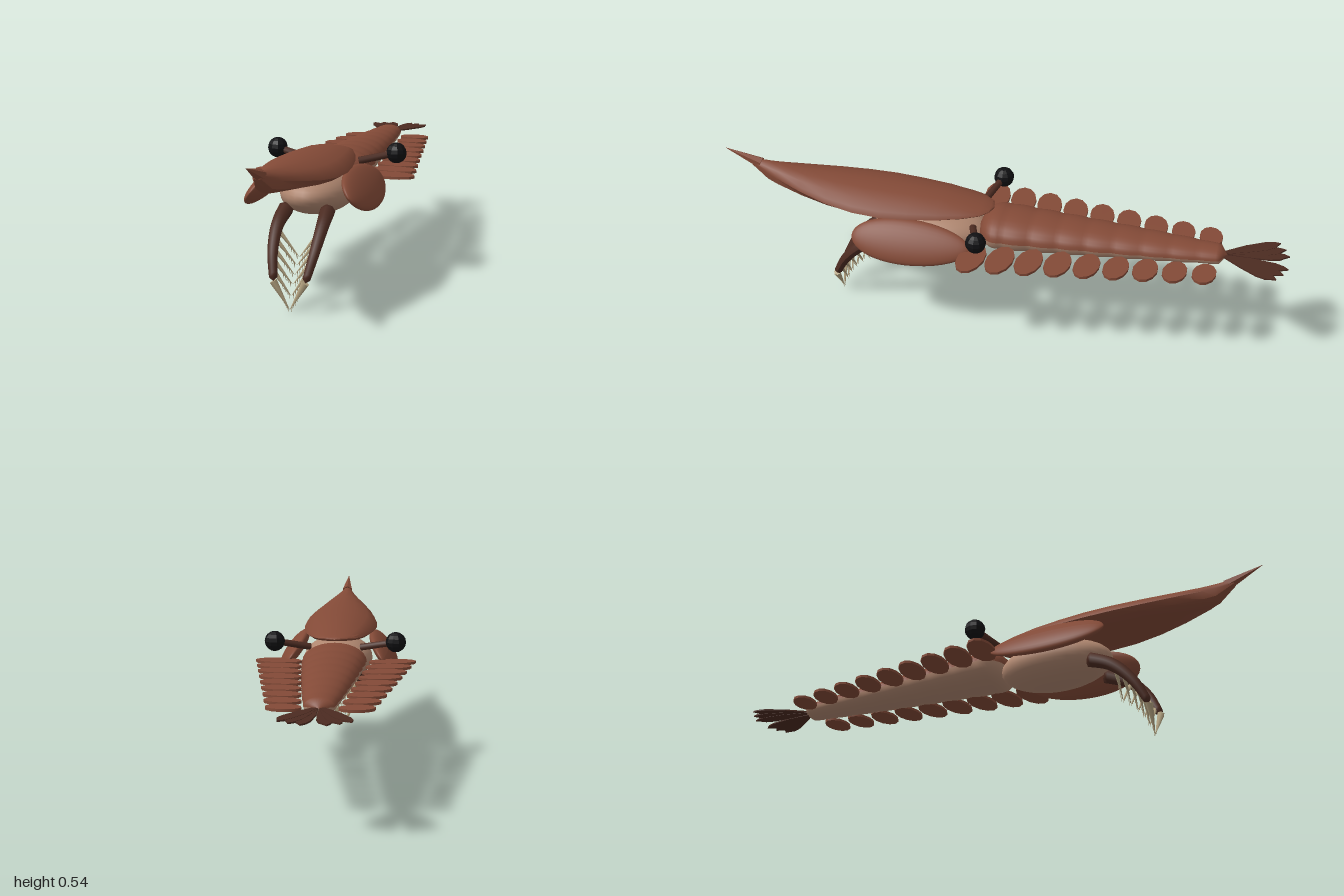
import * as THREE from 'three';
import { toCreasedNormals } from 'three/addons/utils/BufferGeometryUtils.js';

const mat = (name, color, side = THREE.FrontSide) => {
  const m = new THREE.MeshStandardMaterial({ color, side });
  m.name = name;
  return m;
};
const V = (x, y, z) => new THREE.Vector3(x, y, z);

// Skin a list of cross-sections (counter-clockwise rings, from back to front)
function loft(rows) {
  const n = rows[0].length, pos = [], idx = [];
  rows.forEach(r => r.forEach(p => pos.push(p.x, p.y, p.z)));
  for (let i = 0; i < rows.length - 1; i++) {
    for (let j = 0; j < n - 1; j++) {
      const a = i * n + j, d = a + n;
      idx.push(a, a + 1, d + 1, a, d + 1, d);
    }
  }
  const g = new THREE.BufferGeometry();
  g.setAttribute('position', new THREE.Float32BufferAttribute(pos, 3));
  g.setIndex(idx);
  g.computeVertexNormals();
  return g;
}

// Tube whose radius follows a function of t
function taperedTube(curve, segs, sides, radius) {
  const g = new THREE.TubeGeometry(curve, segs, 1, sides, false);
  const p = g.attributes.position, v = V(0, 0, 0);
  for (let i = 0; i < p.count; i++) {
    const t = Math.floor(i / (sides + 1)) / segs;
    const c = curve.getPointAt(t);
    v.fromBufferAttribute(p, i).sub(c).multiplyScalar(radius(t)).add(c);
    p.setXYZ(i, v.x, v.y, v.z);
  }
  g.computeVertexNormals();
  return g;
}

// Cylinder or cone running from a to b
function rod(a, b, ra, rb, sides) {
  const d = b.clone().sub(a);
  const g = new THREE.CylinderGeometry(rb, ra, d.length(), sides);
  g.applyQuaternion(new THREE.Quaternion().setFromUnitVectors(V(0, 1, 0), d.normalize()));
  const c = a.clone().add(b).multiplyScalar(0.5);
  return g.translate(c.x, c.y, c.z);
}

export function createModel() {
  const root = new THREE.Group();
  const shell = mat('shell brown', 0x834a37);
  const dark = mat('dark brown', 0x4c2b21);
  const belly = mat('belly tan', 0xb08770);
  const spine = mat('spine khaki', 0xb3a280);
  const black = mat('eye black', 0x101012);
  const add = (name, geo, m, parent = root) => {
    const mesh = new THREE.Mesh(geo, m);
    mesh.name = name;
    parent.add(mesh);
    return mesh;
  };

  // Segmented trunk: brown back and tan underside
  const trunkHalf = from => {
    const rows = [], steps = 72, z0 = -0.79, z1 = 0.07;
    for (let i = 0; i <= steps; i++) {
      const t = i / steps, z = z0 + (z1 - z0) * t;
      const cap = Math.sqrt(Math.max(0, 1 - Math.max(0, (t - 0.9) / 0.1) ** 2)) * Math.min(1, t * 40);
      const wave = 0.965 + 0.05 * Math.abs(Math.sin(t * Math.PI * 9));
      const w = (0.042 + 0.078 * t ** 0.8) * wave * cap;
      const h = (0.026 + 0.042 * t ** 0.9) * wave * cap;
      const ring = [];
      for (let j = 0; j <= 14; j++) {
        const a = from + Math.PI * j / 14;
        ring.push(V(w * Math.cos(a), 0.358 + h * Math.sin(a), z));
      }
      rows.push(ring);
    }
    return loft(rows);
  };
  add('trunkBack', trunkHalf(0), shell);
  add('trunkBelly', trunkHalf(Math.PI), belly);

  // Head
  add('head', new THREE.SphereGeometry(1, 28, 20).scale(0.125, 0.078, 0.205).translate(0, 0.328, 0.245), belly);

  // Head shield: z, half width, ridge, rim and keel heights
  const sections = [
    [0.02, 0.001, 0.432, 0.43, 0.428], [0.03, 0.038, 0.438, 0.432, 0.425],
    [0.06, 0.066, 0.445, 0.428, 0.418], [0.12, 0.09, 0.457, 0.424, 0.41],
    [0.2, 0.112, 0.47, 0.42, 0.404], [0.3, 0.128, 0.477, 0.417, 0.401],
    [0.4, 0.137, 0.482, 0.416, 0.4], [0.5, 0.132, 0.485, 0.42, 0.402],
    [0.6, 0.113, 0.488, 0.43, 0.406], [0.7, 0.083, 0.492, 0.445, 0.412],
    [0.8, 0.046, 0.499, 0.463, 0.422], [0.84, 0.031, 0.502, 0.472, 0.432],
    [0.9, 0.012, 0.507, 0.494, 0.482], [0.903, 0.001, 0.5, 0.495, 0.49],
  ];
  const shield = sections.map(([z, w, top, rim, keel]) => {
    const side = [[1, rim], [0.93, rim + 0.3 * (top - rim)], [0.72, rim + 0.62 * (top - rim)],
      [0.38, rim + 0.88 * (top - rim)]];
    const under = [[0.45, keel + 0.1 * (rim - keel)], [0.86, keel + 0.35 * (rim - keel)]];
    return [...side, [0, top], ...side.slice().reverse().map(([x, y]) => [-x, y]),
      ...under.slice().reverse().map(([x, y]) => [-x, y]), [0, keel], ...under, side[0]]
      .map(([x, y]) => V(x * w, y, z));
  });
  add('headShield', toCreasedNormals(loft(shield), 0.6), shell);
  add('shieldSpike', toCreasedNormals(rod(V(0, 0.49, 0.87), V(0, 0.536, 1), 0.021, 0.0005, 6), 0.4), shell);

  // Tail fan blade outline
  const leaf = new THREE.Shape([[-0.008, 0], [0.008, 0], [0.02, 0.08], [0.026, 0.15], [0.021, 0.185],
    [0.01, 0.2], [0, 0.218], [-0.012, 0.2], [-0.02, 0.17], [-0.02, 0.09]].map(p => new THREE.Vector2(...p)));

  for (const s of [1, -1]) {
    const side = new THREE.Group();
    side.name = s > 0 ? 'leftSide' : 'rightSide';
    root.add(side);

    // Cheek plate: flattened egg, blunt in front
    const plate = new THREE.SphereGeometry(1, 28, 20).rotateX(Math.PI / 2);
    const p = plate.attributes.position;
    for (let i = 0; i < p.count; i++) {
      const z = p.getZ(i), k = 1 + 0.1 * z;
      p.setXYZ(i, p.getX(i) * k, p.getY(i) * k, z);
    }
    plate.scale(0.027, 0.08, 0.21).rotateZ(s * 0.65).translate(s * 0.165, 0.351, 0.28);
    plate.computeVertexNormals();
    add('cheekPlate', plate, shell, side);

    // Eye on its stalk
    add('eyeStalk', rod(V(s * 0.09, 0.395, 0.075), V(s * 0.2, 0.418, 0.04), 0.013, 0.012, 8), dark, side);
    add('eye', toCreasedNormals(new THREE.SphereGeometry(0.036, 10, 8), 0.3).translate(s * 0.214, 0.421, 0.035), black, side);

    // Swimming flaps
    for (let i = 0; i < 9; i++) {
      const t = i / 8;
      const g = new THREE.CylinderGeometry(1, 1, 0.009, 12)
        .scale(0.084 - 0.027 * t, 1, 0.046 - 0.006 * t)
        .rotateY(-s * 0.15)
        .translate(s * (0.202 - 0.09 * t), 0.345, 0.055 - 0.78 * t);
      add('flap', toCreasedNormals(g, 0.6), shell, side);
    }

    // Tail fan
    [0.13, 0.31, 0.5].forEach((a, i) => {
      const g = new THREE.ExtrudeGeometry(leaf, { depth: 0.005, bevelEnabled: false })
        .rotateX(-Math.PI / 2).scale(1, 1, 1 - 0.03 * i).rotateY(-s * a)
        .translate(s * 0.01, 0.353 + i * 0.001, -0.782);
      add('tailBlade', g, dark, side);
    });

    // Grasping arm with inward spines and small barbs
    const arm = new THREE.CatmullRomCurve3([V(s * 0.07, 0.292, 0.39), V(s * 0.075, 0.25, 0.48),
      V(s * 0.069, 0.18, 0.55), V(s * 0.053, 0.095, 0.597)]);
    add('graspingArm', taperedTube(arm, 24, 8, t => (t === 0 || t === 1 ? 0.0001 : 0.027 - 0.014 * t)), dark, side);
    for (let i = 0; i < 6; i++) {
      const a = arm.getPointAt(1 - i * 0.125);
      const tip = V(s * 0.001, [0.004, 0.045, 0.078, 0.105, 0.13, 0.15][i], a.z - 0.004);
      add('armSpine', rod(a, tip, i ? 0.009 : 0.013, 0.0005, 6), spine, side);
      for (let k = 1; k <= 4; k++) {
        const b = a.clone().lerp(tip, 0.4 + k * 0.12);
        add('barb', rod(b, V(b.x - s * 0.002, b.y - 0.02, b.z - 0.003), 0.0025, 0.0003, 4), spine, side);
      }
    }
  }

  // Stand on the ground
  const box = new THREE.Box3().setFromObject(root);
  root.children.forEach(c => { c.position.y -= box.min.y; });
  return root;
}
